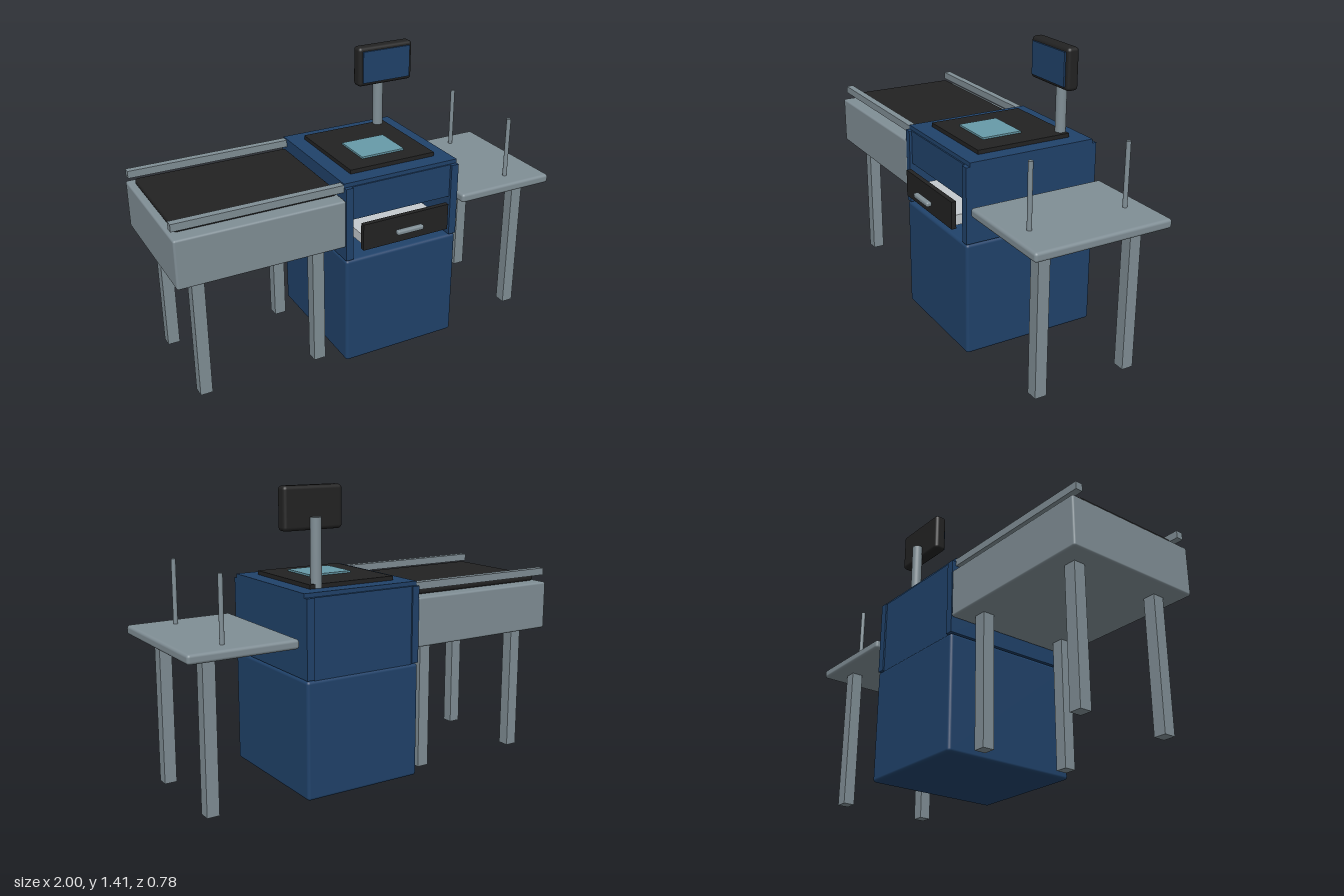
import * as THREE from 'three';
import { RoundedBoxGeometry } from 'three/addons/geometries/RoundedBoxGeometry.js';

const mat = (name, color) => Object.assign(new THREE.MeshStandardMaterial({ color }), { name });

export function createModel() {
  const blue = mat('navy blue', 0x20426a);
  const steel = mat('brushed steel', 0x808e95);
  const black = mat('black rubber', 0x222222);
  const glass = mat('scanner glass', 0x679aa8);
  const pale = mat('pale tray grey', 0xc4cace);

  const root = new THREE.Group();
  root.name = 'checkoutCounter';
  const group = (name) => {
    const g = new THREE.Group();
    g.name = name;
    root.add(g);
    return g;
  };

  // Box from its x, y and z ranges; r > 0 rounds the edges
  const box = (parent, name, material, [x0, x1], [y0, y1], [z0, z1], r = 0) => {
    const w = x1 - x0, h = y1 - y0, d = z1 - z0;
    const geo = r ? new RoundedBoxGeometry(w, h, d, 3, r) : new THREE.BoxGeometry(w, h, d);
    const m = new THREE.Mesh(geo, material);
    m.name = name;
    m.position.set((x0 + x1) / 2, (y0 + y1) / 2, (z0 + z1) / 2);
    parent.add(m);
  };
  const rod = (parent, name, radius, x, z, y0, y1) => {
    const m = new THREE.Mesh(new THREE.CylinderGeometry(radius, radius, y1 - y0, 24), steel);
    m.name = name;
    m.position.set(x, (y0 + y1) / 2, z);
    parent.add(m);
  };
  const around = (c, half) => [c - half, c + half];
  const MID = -0.04; // middle of the counter's depth
  const DEPTH = [-0.388, 0.308];

  // Legs come in front and back pairs
  const legPair = (parent, x, top) => {
    for (const s of [-1, 1]) box(parent, 'leg', steel, around(x, 0.03), [0, top], around(MID + s * 0.236, 0.029));
  };

  // Conveyor with belt and floating side rails
  const conveyor = group('conveyor');
  box(conveyor, 'conveyorBody', steel, [-1, -0.18], [0.64, 0.88], DEPTH, 0.01);
  box(conveyor, 'belt', black, [-0.972, -0.192], [0.88, 0.914], [-0.325, 0.242], 0.015);
  for (const s of [-1, 1]) box(conveyor, 'sideRail', steel, [-1, -0.178], [0.914, 0.95], around(MID + s * 0.308, 0.018));
  for (const x of [-0.88, -0.285]) legPair(conveyor, x, 0.645);

  // Base cabinet
  const cabinet = group('cabinet');
  box(cabinet, 'baseCabinet', blue, [-0.18, 0.432], [0, 0.563], DEPTH, 0.015);

  // Hollow upper housing, open at the front for the drawer
  box(cabinet, 'sideWall', blue, [-0.18, -0.143], [0.567, 0.937], DEPTH);
  box(cabinet, 'sideWall', blue, [0.393, 0.432], [0.567, 0.937], DEPTH);
  box(cabinet, 'backPanel', blue, [-0.143, 0.393], [0.56, 0.937], [-0.38, -0.355]);
  box(cabinet, 'frontPanel', blue, [-0.143, 0.393], [0.77, 0.937], [0.265, 0.295]);
  box(cabinet, 'countertop', blue, [-0.18, 0.432], [0.935, 0.957], [-0.366, 0.288]);

  // Half-open drawer
  const drawer = group('drawer');
  box(drawer, 'drawerTray', pale, [-0.09, 0.34], [0.63, 0.68], [-0.15, 0.321]);
  box(drawer, 'drawerFront', black, [-0.108, 0.358], [0.622, 0.756], [0.32, 0.344]);
  box(drawer, 'drawerHandle', steel, [0.053, 0.197], [0.678, 0.702], [0.36, 0.388], 0.009);

  // Flat scanner
  const scanner = group('scanner');
  box(scanner, 'scannerPlate', black, [-0.102, 0.355], [0.955, 0.977], [-0.286, 0.205]);
  box(scanner, 'scannerWindow', glass, [0.01, 0.24], [0.977, 0.986], [-0.09, 0.114]);

  // Display on a pole
  const display = group('display');
  rod(display, 'displayPole', 0.026, 0.31, -0.265, 0.95, 1.275);
  box(display, 'displayHousing', black, [0.158, 0.464], [1.215, 1.415], [-0.252, -0.19], 0.018);
  box(display, 'displayScreen', blue, [0.18, 0.444], [1.235, 1.395], [-0.19, -0.182]);

  // Bagging table with bag rods
  const table = group('baggingTable');
  box(table, 'tableTop', steel, [0.468, 0.997], [0.718, 0.763], DEPTH, 0.014);
  legPair(table, 0.865, 0.725);
  for (const s of [-1, 1]) rod(table, 'bagRod', 0.011, 0.793, MID + s * 0.248, 0.755, 1.07);

  return root;
}
